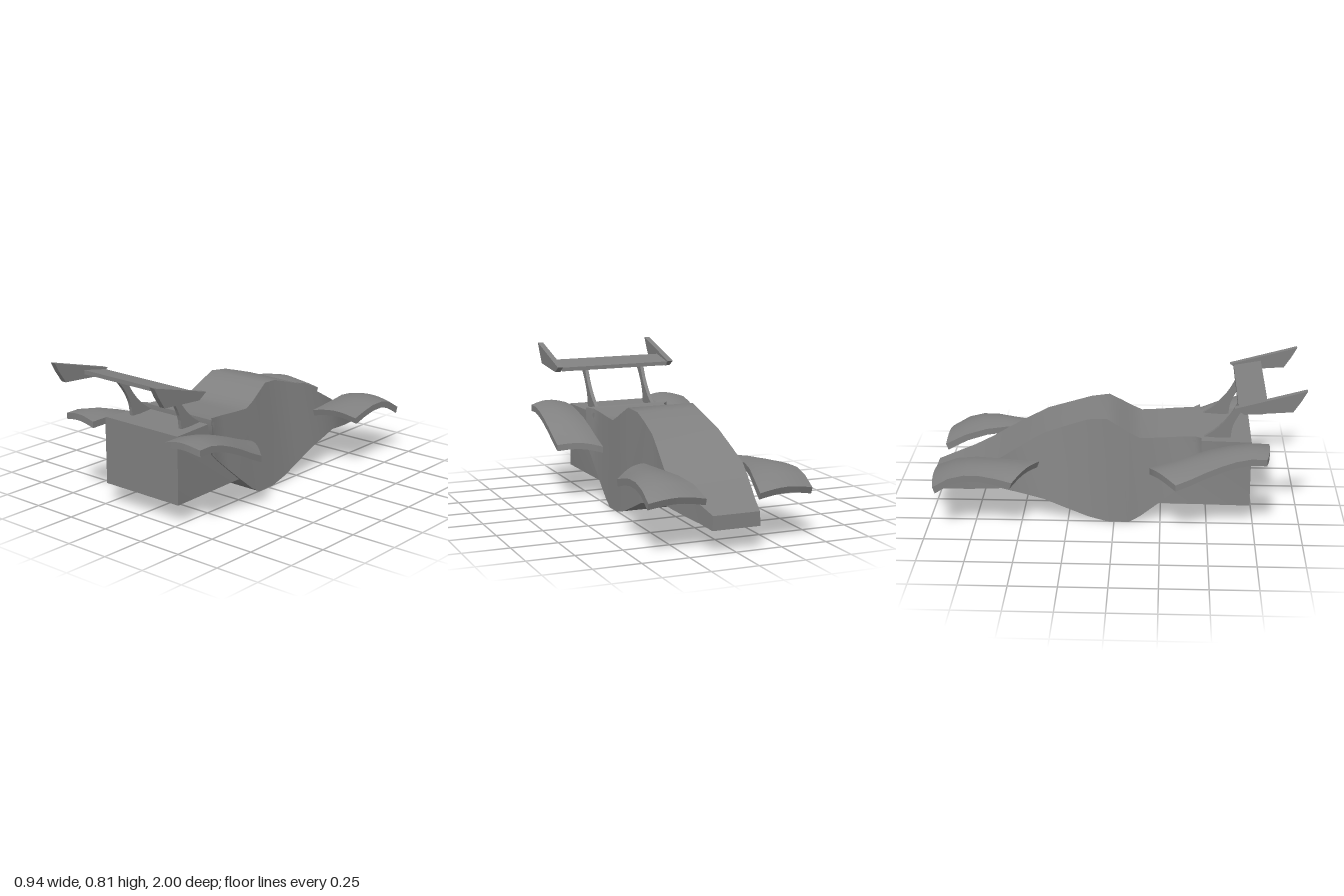
import * as THREE from 'three';
import { toCreasedNormals } from 'three/addons/utils/BufferGeometryUtils.js';

const material = new THREE.MeshStandardMaterial({ color: 0x808080 });

// Skins closed rings (counter-clockwise seen from +z, listed towards +z) and caps both ends.
function loft(rings) {
  const m = rings[0].length, last = (rings.length - 1) * m, index = [];
  for (let k = 0; k < rings.length - 1; k++) {
    for (let i = 0; i < m; i++) {
      const j = (i + 1) % m, a = k * m + i, b = k * m + j;
      index.push(a, b, b + m, a, b + m, a + m);
    }
  }
  for (let i = 0; i < m / 2 - 1; i++) {
    const a = i, b = i + 1, c = m - 2 - i, d = m - 1 - i;
    index.push(a, c, b, a, d, c);
    index.push(last + a, last + b, last + c, last + a, last + c, last + d);
  }
  const geometry = new THREE.BufferGeometry();
  geometry.setAttribute('position', new THREE.Float32BufferAttribute(rings.flat(2), 3));
  geometry.setIndex(index);
  return toCreasedNormals(geometry, 0.85);
}

// Four-cornered cross-section, symmetric in x.
const section = (z, bottomY, topY, bottomX, topX) => [
  [-bottomX, bottomY, z], [bottomX, bottomY, z], [topX, topY, z], [-topX, topY, z],
];

// Flat plate with a (z, y) outline, centred on a given x.
function sidePlate(points, x, width) {
  const shape = new THREE.Shape(points.map(([z, y]) => new THREE.Vector2(-z, y)));
  const geometry = new THREE.ExtrudeGeometry(shape, { depth: width, bevelEnabled: false });
  geometry.rotateY(Math.PI / 2);
  geometry.translate(x - width / 2, 0, 0);
  return geometry;
}

// Arched guard: height and inner edge per ring, z range depending on u (0 inner, 1 outer).
function fender(side, { tops, inner, outer, zStart, zEnd, drop, thickness, tuck }) {
  const steps = 8;
  const rings = tops.map((top, k) => {
    const v = k / (tops.length - 1), upper = [], lower = [];
    for (let i = 0; i <= steps; i++) {
      const u = i / steps;
      const x = side * THREE.MathUtils.lerp(inner[k], outer, u);
      const y = top + 0.02 * Math.sin(Math.PI * u) - drop(u, v);
      const z = THREE.MathUtils.lerp(zStart(u), zEnd(u), v);
      lower.push([x, y - thickness, z + tuck * (1 - 2 * v)]);
      upper.push([x, y, z]);
    }
    const ring = [...lower, ...upper.reverse()];
    return side > 0 ? ring : ring.reverse();
  });
  return loft(rings);
}

export function createModel() {
  const group = new THREE.Group();
  const add = (name, geometry) => {
    const mesh = new THREE.Mesh(geometry, material);
    mesh.name = name;
    group.add(mesh);
  };

  // Main body: z, bottom y, top y, bottom half width, top half width
  add('body', loft([
    [-1, 0.12, 0.195, 0.13, 0.127],
    [-0.9, 0.135, 0.23, 0.152, 0.15],
    [-0.8, 0.15, 0.262, 0.185, 0.18],
    [-0.7, 0.166, 0.305, 0.213, 0.205],
    [-0.61, 0.178, 0.355, 0.23, 0.22],
    [-0.5, 0.158, 0.422, 0.245, 0.205],
    [-0.38, 0.13, 0.49, 0.254, 0.19],
    [-0.25, 0.075, 0.532, 0.254, 0.18],
    [-0.14, 0.03, 0.566, 0.254, 0.176],
    [-0.04, 0.002, 0.575, 0.254, 0.19],
    [0.03, 0, 0.535, 0.254, 0.2],
    [0.08, 0, 0.505, 0.254, 0.207],
    [0.14, 0.035, 0.476, 0.254, 0.21],
    [0.24, 0.115, 0.481, 0.254, 0.212],
    [0.33, 0.19, 0.488, 0.254, 0.213],
    [0.43, 0.275, 0.493, 0.254, 0.216],
    [0.465, 0.31, 0.498, 0.254, 0.25],
  ].map((s) => section(...s))));

  // Engine bay, narrowing where it enters the body
  add('engineBox', loft([
    section(0.2, 0.11, 0.465, 0.238, 0.195),
    section(0.73, 0.11, 0.478, 0.255, 0.255),
  ]));

  // Rear wing blade, tilted up at its trailing edge
  add('wingBlade', loft([
    section(0.65, 0.683, 0.705, 0.328, 0.328),
    section(0.8, 0.71, 0.732, 0.328, 0.328),
  ]));

  const strutFront = new THREE.CatmullRomCurve3([
    [0.48, 0.48], [0.55, 0.53], [0.62, 0.61], [0.66, 0.685],
  ].map(([z, y]) => new THREE.Vector3(z, y, 0))).getPoints(8);
  const strutRear = new THREE.CatmullRomCurve3([
    [0.73, 0.695], [0.67, 0.62], [0.63, 0.54], [0.62, 0.47],
  ].map(([z, y]) => new THREE.Vector3(z, y, 0))).getPoints(8);
  const strutOutline = [...strutFront, ...strutRear].map((p) => [p.x, p.y]);
  const endPlateOutline = [[1, 0.81], [0.97, 0.755], [0.93, 0.695], [0.68, 0.677], [0.63, 0.71]];

  for (const side of [1, -1]) {
    const label = side > 0 ? 'left' : 'right';
    add(label + 'WingStrut', sidePlate(strutOutline, side * 0.173, 0.02));
    add(label + 'WingEndPlate', sidePlate(endPlateOutline, side * 0.344, 0.032));

    // Guard beside the nose, with a slanted trailing edge
    add(label + 'NoseFender', fender(side, {
      tops: [0.275, 0.325, 0.348, 0.353, 0.349, 0.346],
      inner: [0.145, 0.165, 0.197, 0.225, 0.235, 0.245],
      outer: 0.445,
      zStart: (u) => -0.965 + 0.015 * u ** 4,
      zEnd: (u) => -0.4 - 0.13 * u,
      drop: (u, v) => 0.04 * u * v ** 3,
      thickness: 0.035,
      tuck: 0.013,
    }));

    // Guard beside the engine bay, with a curved leading edge
    add(label + 'RearFender', fender(side, {
      tops: [0.32, 0.355, 0.395, 0.43, 0.458, 0.474, 0.472],
      inner: [0.25, 0.25, 0.25, 0.25, 0.255, 0.255, 0.255],
      outer: 0.47,
      zStart: (u) => 0.19 + 0.14 * u ** 1.4,
      zEnd: (u) => 0.82 - 0.02 * u ** 4,
      drop: () => 0,
      thickness: 0.035,
      tuck: 0,
    }));
  }
  return group;
}
